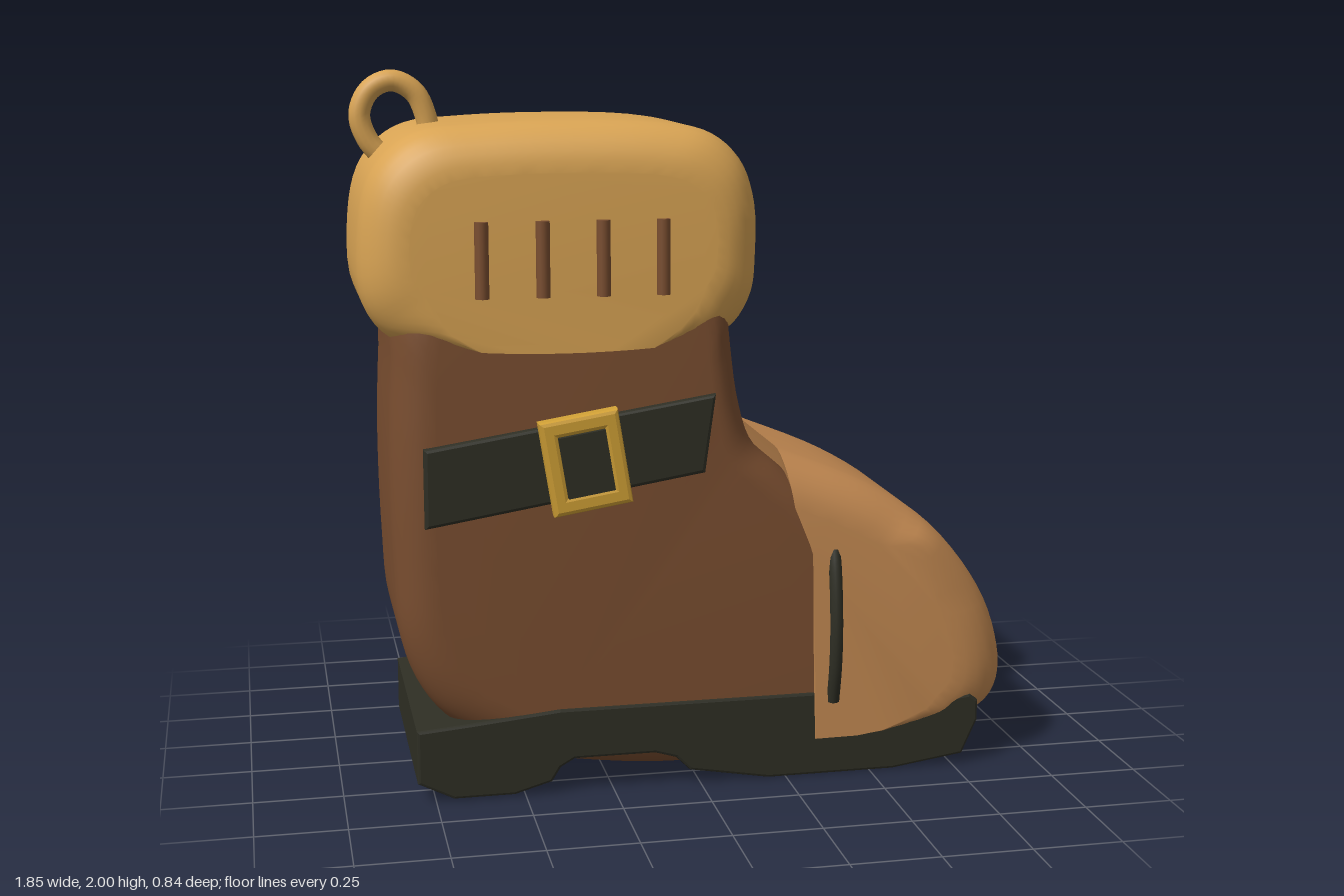
import * as THREE from 'three';
import { toCreasedNormals } from 'three/addons/utils/BufferGeometryUtils.js';

const material = (name, color) => {
  const m = new THREE.MeshStandardMaterial({ color });
  m.name = name;
  return m;
};
const clamp01 = (v) => Math.min(1, Math.max(0, v));
const vec2 = (pts) => pts.map(([x, y]) => new THREE.Vector2(x, y));
const closedCurve = (pts, n) => {
  const c = new THREE.CatmullRomCurve3(pts.map(([x, y]) => new THREE.Vector3(x, y, 0)), true);
  return c.getPoints(n).slice(0, n).map((p) => new THREE.Vector2(p.x, p.y));
};

// Side outline swept across z; its edges round off by shrinking towards a centre
function pillow(outline, { half, round, centre, shrink, weight = () => 1 }) {
  if (THREE.ShapeUtils.isClockWise(outline)) outline.reverse();
  const n = outline.length, steps = 7, pos = [], index = [], rings = [];
  for (const side of [-1, 1]) {
    for (let i = 0; i <= steps; i++) {
      const a = ((side < 0 ? steps - i : i) / steps) * Math.PI / 2;
      rings.push({ z: side * (half - round + round * Math.sin(a)), inset: 1 - Math.cos(a) });
    }
  }
  for (const { z, inset } of rings) {
    for (const p of outline) {
      const w = inset * weight(p.x, p.y);
      pos.push(p.x + (centre[0] - p.x) * shrink[0] * w, p.y + (centre[1] - p.y) * shrink[1] * w, z);
    }
  }
  for (let r = 0; r < rings.length - 1; r++) {
    for (let j = 0; j < n; j++) {
      const a = r * n + j, b = r * n + (j + 1) % n;
      index.push(a, b, b + n, a, b + n, a + n);
    }
  }
  // Flat side faces
  const last = (rings.length - 1) * n;
  const face = [];
  for (let j = 0; j < n; j++) face.push(new THREE.Vector2(pos[3 * (last + j)], pos[3 * (last + j) + 1]));
  for (const [a, b, c] of THREE.ShapeUtils.triangulateShape(face, [])) {
    index.push(last + a, last + b, last + c, c, b, a);
  }
  const g = new THREE.BufferGeometry();
  g.setAttribute('position', new THREE.Float32BufferAttribute(pos, 3));
  g.setIndex(index);
  return toCreasedNormals(g, 0.75);
}

// Plate centred on z = 0, with an optional bevel
function plate(shape, depth, bevel = 0) {
  const g = new THREE.ExtrudeGeometry(shape, {
    depth: depth - 2 * bevel, bevelEnabled: bevel > 0, bevelSize: bevel,
    bevelThickness: bevel, bevelOffset: -bevel, bevelSegments: 2,
  });
  return g.translate(0, 0, bevel - depth / 2);
}
const rect = (w, h) => vec2([[-w / 2, -h / 2], [w / 2, -h / 2], [w / 2, h / 2], [-w / 2, h / 2]]);

export function createModel() {
  const model = new THREE.Group();
  model.name = 'boot';
  const leather = material('brown leather', 0x7a4e30);
  const toeLeather = material('light brown leather', 0xc48a52);
  const tan = material('tan cuff', 0xd9a454);
  const dark = material('dark rubber', 0x2e2e24);
  const gold = material('gold', 0xcf9f35);
  const add = (name, geometry, mat, parent = model) => {
    const m = new THREE.Mesh(geometry, mat);
    m.name = name;
    parent.add(m);
    return m;
  };

  // Shaft and foot in one piece
  add('upper', pillow(closedCurve([
    [-0.82, 1.42], [-0.84, 1.2], [-0.85, 0.95], [-0.845, 0.65], [-0.83, 0.45], [-0.78, 0.31], [-0.70, 0.21],
    [-0.5, 0.1], [-0.25, 0.05], [0, 0.035], [0.3, 0.06], [0.5, 0.14], [0.56, 0.33], [0.5, 0.57],
    [0.36, 0.78], [0.25, 0.89], [0.165, 0.97], [0.125, 1.09], [0.1, 1.27], [0.08, 1.45],
    [-0.05, 1.6], [-0.35, 1.65], [-0.65, 1.6],
  ], 90), { half: 0.345, round: 0.11, centre: [-0.25, 0.7], shrink: [0.19, 0.19] }), leather);

  // Toe cap with a straight back edge
  const toe = new THREE.SplineCurve(vec2([
    [0.24, 0.945], [0.5, 0.835], [0.7, 0.70], [0.85, 0.51], [0.915, 0.33], [0.91, 0.2],
    [0.83, 0.13], [0.68, 0.115], [0.335, 0.11],
  ])).getPoints(40);
  toe.push(new THREE.Vector2(0.325, 0.65));
  add('toeCap', pillow(toe, {
    half: 0.36, round: 0.13, centre: [0.33, 0.4], shrink: [0.3, 0.28],
    weight: (x, y) => clamp01(Math.max((x - 0.5) / 0.35, (y - 0.65) / 0.12)),
  }), toeLeather);

  // Padded cuff
  add('cuff', pillow(closedCurve([
    [-0.75, 1.845], [-0.6, 1.862], [-0.35, 1.87], [-0.08, 1.86], [0.05, 1.83], [0.13, 1.76], [0.17, 1.65],
    [0.175, 1.5], [0.16, 1.38], [0.09, 1.285], [-0.1, 1.26], [-0.37, 1.25], [-0.62, 1.26],
    [-0.83, 1.285], [-0.91, 1.385], [-0.92, 1.58], [-0.89, 1.72], [-0.83, 1.8],
  ], 80), {
    half: 0.355, round: 0.13, centre: [-0.37, 1.55], shrink: [0.24, 0.42],
    weight: (x, y) => clamp01(Math.max((y - 1.27) / 0.15, (Math.abs(x + 0.37) - 0.25) / 0.25)),
  }), tan);

  // Sole with heel and arch
  add('sole', plate(new THREE.Shape(vec2([
    [-0.8, 0.055], [-0.7, 0.005], [-0.53, 0.005], [-0.425, 0.035], [-0.40, 0.075], [-0.36, 0.098],
    [-0.13, 0.098], [-0.07, 0.08], [-0.03, 0.04], [0.2, 0], [0.57, 0], [0.78, 0.03],
    [0.825, 0.13], [0.825, 0.19], [0.8, 0.21], [0.7, 0.2], [0.33, 0.245], [-0.4, 0.245], [-0.65, 0.22], [-0.8, 0.207],
  ])), 0.704, 0.008), dark);

  // Pull loop at the back
  const loop = new THREE.CatmullRomCurve3([
    [-0.81, 1.74], [-0.87, 1.81], [-0.89, 1.88], [-0.86, 1.945], [-0.8, 1.97],
    [-0.74, 1.94], [-0.71, 1.88], [-0.69, 1.76],
  ].map(([x, y]) => new THREE.Vector3(x, y, 0)));
  add('pullLoop', new THREE.TubeGeometry(loop, 40, 0.03, 12), tan);

  const strapShape = new THREE.Shape(vec2([[-0.765, 0.78], [0.01, 0.905], [0.04, 1.125], [-0.765, 1.0]]));
  const buckleShape = new THREE.Shape(rect(0.22, 0.265));
  buckleShape.holes.push(new THREE.Path(rect(0.125, 0.165).reverse()));

  for (const s of [1, -1]) {
    const side = new THREE.Group();
    side.name = s > 0 ? 'frontSideTrim' : 'backSideTrim';
    model.add(side);

    // Strap and buckle
    add('strap', plate(strapShape, 0.06, 0.01), dark, side).position.z = s * 0.335;
    const buckle = new THREE.Group();
    buckle.name = 'buckle';
    buckle.position.set(-0.33, 0.955, s * 0.382);
    buckle.rotation.z = 0.16;
    side.add(buckle);
    add('buckleFrame', plate(buckleShape, 0.056, 0.012), gold, buckle);
    add('buckleCentre', new THREE.BoxGeometry(0.13, 0.17, 0.076), dark, buckle);

    // Ribs on the cuff
    for (let i = 0; i < 4; i++) {
      const rib = add('cuffRib', new THREE.CylinderGeometry(0.019, 0.019, 0.205, 12), leather, side);
      rib.position.set(-0.6 + i * 0.164, 1.507, s * 0.363);
    }

    // Seam on the toe cap
    const seam = new THREE.CatmullRomCurve3([
      [0.22, 0.352], [0.32, 0.374], [0.42, 0.381], [0.52, 0.374], [0.61, 0.358], [0.67, 0.34],
    ].map(([y, z]) => new THREE.Vector3(0.387, y, s * z)));
    add('toeSeam', new THREE.TubeGeometry(seam, 24, 0.019, 10), dark, side);
  }
  return model;
}
